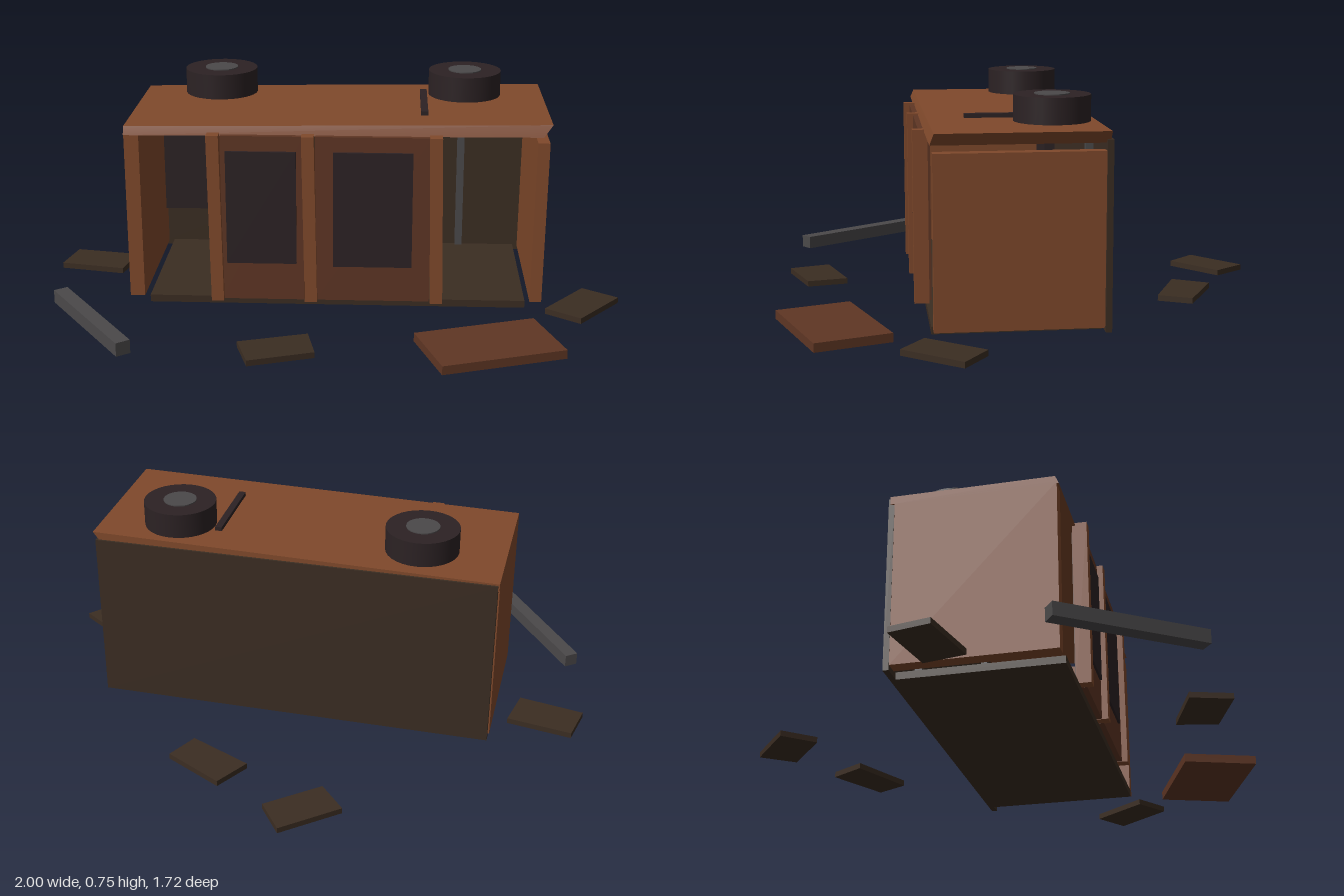
import * as THREE from 'three';

const mat = (name, color) => {
  const m = new THREE.MeshStandardMaterial({ color });
  m.name = name;
  return m;
};

export function createModel() {
  const group = new THREE.Group();
  const wood = mat('wood', 0x80492b);
  const redWood = mat('red wood', 0x5f3624);
  const darkWood = mat('dark wood', 0x3b2d22);
  const cloth = mat('charcoal', 0x2c2224);
  const metal = mat('grey metal', 0x4b494a);

  const add = (name, geometry, material) => {
    const mesh = new THREE.Mesh(geometry, material);
    mesh.name = name;
    group.add(mesh);
    return mesh;
  };

  // Box given by its extents on each axis
  const box = (name, [x0, x1], [y0, y1], [z0, z1], material) => {
    const mesh = add(name, new THREE.BoxGeometry(x1 - x0, y1 - y0, z1 - z0), material);
    mesh.position.set((x0 + x1) / 2, (y0 + y1) / 2, (z0 + z1) / 2);
    return mesh;
  };

  // Flat piece given by its plan corners [x, z] and its height range
  const slab = (name, corners, y0, y1, material) => {
    const shape = new THREE.Shape(corners.map(([x, z]) => new THREE.Vector2(x, -z)));
    const geo = new THREE.ExtrudeGeometry(shape, { depth: y1 - y0, bevelEnabled: false });
    geo.rotateX(-Math.PI / 2).translate(0, y0, 0);
    return add(name, geo, material);
  };

  // Cabinet carcass
  box('leftEndPanel', [-0.69, -0.64], [0.04, 0.625], [-0.19, 0.35], wood);
  const side = box('rightEndPanel', [0.685, 0.725], [0.04, 0.605], [-0.19, 0.35], wood);
  side.rotation.z = -0.01;
  box('backPanel', [-0.685, 0.725], [0.025, 0.64], [-0.212, -0.192], darkWood);
  box('floorBoard', [-0.62, 0.665], [0.02, 0.045], [-0.19, 0.355], darkWood);

  // Warped top board: rises to the right, with a slanted right end
  const top = new THREE.BoxGeometry(1.42, 0.035, 0.56);
  const p = top.attributes.position;
  for (let i = 0; i < p.count; i++) {
    const right = p.getX(i) > 0, upper = p.getY(i) > 0, front = p.getZ(i) > 0;
    p.setXYZ(i,
      right ? (upper ? 0.735 : 0.705) : -0.69,
      upper ? (right ? 0.667 : 0.646) : (right ? 0.627 : 0.618),
      front ? (upper ? 0.345 : 0.357) : -0.205);
  }
  top.computeVertexNormals();
  add('topBoard', top, wood);

  // Front posts
  [[-0.385, 0.012], [-0.068, 0.016], [0.357, 0.018]].forEach(([x, lean]) => {
    box('frontPost', [x - 0.021, x + 0.021], [0.045, 0.63], [0.345, 0.395], wood).rotation.z = lean;
  });

  // Doors with dark inset cloth
  [[-0.365, -0.088, -0.348, -0.112, 0.178], [-0.048, 0.338, 0.012, 0.277, 0.17]].forEach(([x0, x1, c0, c1, cy]) => {
    box('door', [x0, x1], [0.045, 0.625], [0.335, 0.374], redWood);
    box('doorCloth', [c0, c1], [cy, 0.573], [0.374, 0.382], cloth);
  });

  // Things left in the open compartments
  box('innerPanel', [-0.64, -0.408], [0.185, 0.47], [-0.19, -0.15], cloth);
  box('leftRod', [-0.422, -0.408], [0.05, 0.183], [-0.19, -0.165], metal);
  box('rightRod', [0.447, 0.473], [0.05, 0.62], [-0.19, -0.165], metal);

  // Round units on the top
  [[-0.405, -0.06], [0.46, -0.055]].forEach(([x, z]) => {
    const drum = add('drum', new THREE.CylinderGeometry(0.127, 0.127, 0.087, 32), cloth);
    drum.position.set(x, 0.7105, z);
    const cap = add('drumCap', new THREE.CylinderGeometry(0.058, 0.058, 0.006, 32), metal);
    cap.position.set(x, 0.7545, z);
  });
  box('arm', [0.303, 0.327], [0.655, 0.675], [-0.08, 0.22], cloth);

  // Broken pieces scattered on the ground
  [
    [[-0.28, -0.71], [-0.1, -0.86], [-0.02, -0.75], [-0.19, -0.61]],
    [[0.16, -0.67], [0.365, -0.56], [0.31, -0.45], [0.09, -0.55]],
    [[-0.97, -0.105], [-0.74, -0.065], [-0.77, 0.08], [-1, 0.035]],
    [[0.88, 0.195], [0.995, 0.275], [0.845, 0.46], [0.733, 0.38]],
    [[-0.285, 0.69], [-0.06, 0.62], [-0.03, 0.76], [-0.24, 0.83]],
  ].forEach((c) => slab('brokenPlank', c, 0.01, 0.03, darkWood));
  slab('fallenDoor', [[0.285, 0.61], [0.685, 0.475], [0.77, 0.72], [0.37, 0.855]], 0.005, 0.035, redWood);
  slab('metalBar', [[-0.91, 0.35], [-0.95, 0.38], [-0.655, 0.8], [-0.615, 0.77]], 0.02, 0.066, metal);

  return group;
}
